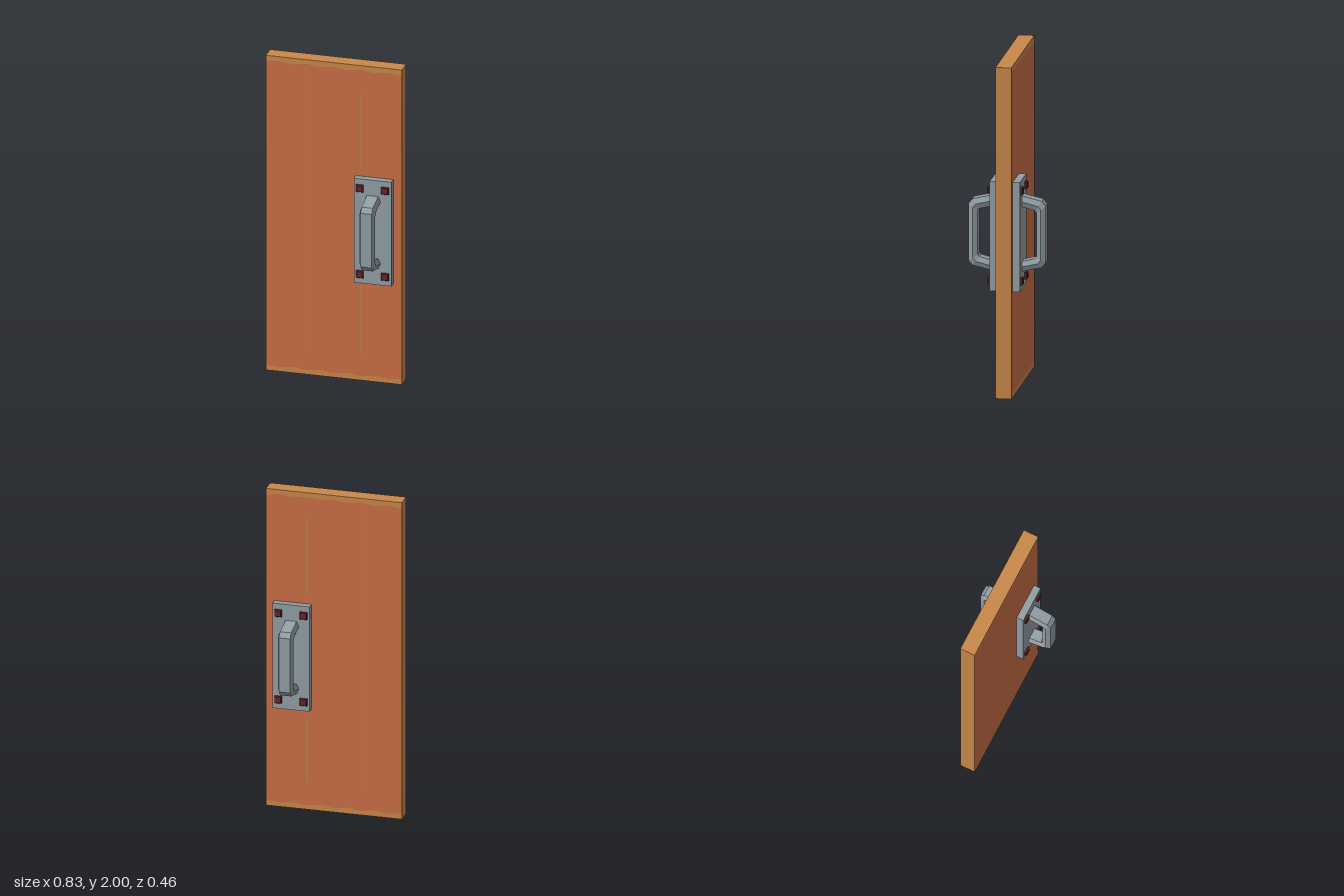
import * as THREE from 'three';

const mat = (name, color) => {
  const m = new THREE.MeshStandardMaterial({ color });
  m.name = name;
  return m;
};

// Hexagonal bar swept along stations of [outer z, outer y, inner z, inner y]
function barGeometry(stations, halfFlat, halfWide) {
  const pos = [], index = [];
  for (const [oz, oy, iz, iy] of stations) {
    const mz = (oz + iz) / 2, my = (oy + iy) / 2;
    pos.push(halfFlat, oy, oz, halfWide, my, mz, halfFlat, iy, iz,
      -halfFlat, iy, iz, -halfWide, my, mz, -halfFlat, oy, oz);
  }
  for (let s = 0; s < stations.length - 1; s++) {
    for (let j = 0; j < 6; j++) {
      const a = s * 6 + j, b = s * 6 + (j + 1) % 6;
      index.push(a, a + 6, b, b, a + 6, b + 6);
    }
  }
  const g = new THREE.BufferGeometry();
  g.setAttribute('position', new THREE.Float32BufferAttribute(pos, 3));
  g.setIndex(index);
  const flat = g.toNonIndexed();
  flat.computeVertexNormals();
  return flat;
}

// Worn strip with a scalloped lower edge, hanging from y = 0
function wornStripGeometry(width) {
  const shape = new THREE.Shape();
  const n = 20;
  shape.moveTo(-width / 2, 0);
  for (let i = 0; i <= n; i++) {
    const depth = [0.038, 0.031, 0.026, 0.032][i % 4];
    shape.lineTo(-width / 2 + (width * i) / n, -depth);
  }
  shape.lineTo(width / 2, 0);
  return new THREE.ShapeGeometry(shape);
}

export function createModel() {
  const model = new THREE.Group();
  model.name = 'door';
  const paint = mat('orange panel', 0xcb6f45);
  const wood = mat('wood edge', 0xc9874a);
  const metal = mat('grey metal', 0x929fa5);
  const bolt = mat('dark red bolt', 0x6a2529);
  const groove = mat('ochre line', 0xb88442);

  const add = (parent, name, geometry, material, x = 0, y = 0, z = 0) => {
    const mesh = new THREE.Mesh(geometry, material);
    mesh.name = name;
    mesh.position.set(x, y, z);
    parent.add(mesh);
    return mesh;
  };

  // Slab: painted faces, bare edges
  const W = 0.83, D = 0.094;
  add(model, 'slab', new THREE.BoxGeometry(W, 2, D),
    [wood, wood, wood, wood, paint, paint], 0, 1, 0);

  const strip = wornStripGeometry(W);
  const upper = [[0.09, 1.198, 0.09, 1.13], [0.207, 1.17, 0.165, 1.112],
    [0.23, 1.14, 0.175, 1.1]];
  upper[0] = [0.075, 1.201, 0.075, 1.135];
  const cy = 0.967;
  const lower = upper.map(([a, b, c, d]) => [a, 2 * cy + 0.005 - b, c, 2 * cy - d]).reverse();
  const grip = barGeometry([...upper, ...lower], 0.034, 0.048);

  for (const side of [1, -1]) {
    // Everything on one face; the back is the front turned half round
    const face = new THREE.Group();
    face.name = side > 0 ? 'frontFace' : 'backFace';
    face.rotation.y = side > 0 ? 0 : Math.PI;
    model.add(face);

    // Worn ends
    const zFace = D / 2 + 0.001;
    add(face, 'topWornStrip', strip, wood, 0, 2, zFace);
    add(face, 'bottomWornStrip', strip, wood, 0, 0, zFace).rotation.z = Math.PI;
    face.children[1].material = wood;
    face.children[1].position.z = zFace;

    // Faint board lines: x, bottom, top, width
    const lines = [[-0.17, 0.17, 1.97, 0.004], [0.165, 1.35, 1.83, 0.008], [0.165, 0.17, 0.6, 0.008]];
    for (const [x, y0, y1, w] of lines) {
      add(face, 'boardLine', new THREE.PlaneGeometry(w, y1 - y0), groove,
        side * x, (y0 + y1) / 2, zFace);
    }

    // Handle set
    const handle = new THREE.Group();
    handle.name = 'handleSet';
    handle.position.x = side * 0.249;
    face.add(handle);
    add(handle, 'backPlate', new THREE.BoxGeometry(0.228, 0.662, 0.045), metal, 0, cy, 0.0675);
    add(handle, 'grip', grip, metal);

    // Square bolts with bevelled heads
    for (const x of [-0.077, 0.077]) {
      for (const y of [0.694, 1.24]) {
        add(handle, 'boltBase', new THREE.BoxGeometry(0.045, 0.045, 0.01), bolt, x, y, 0.094);
        const cap = new THREE.CylinderGeometry(0.036 * Math.SQRT1_2, 0.045 * Math.SQRT1_2, 0.006, 4)
          .rotateY(Math.PI / 4).rotateX(Math.PI / 2).toNonIndexed();
        cap.computeVertexNormals();
        add(handle, 'boltHead', cap, bolt, x, y, 0.102);
      }
    }
  }
  return model;
}
